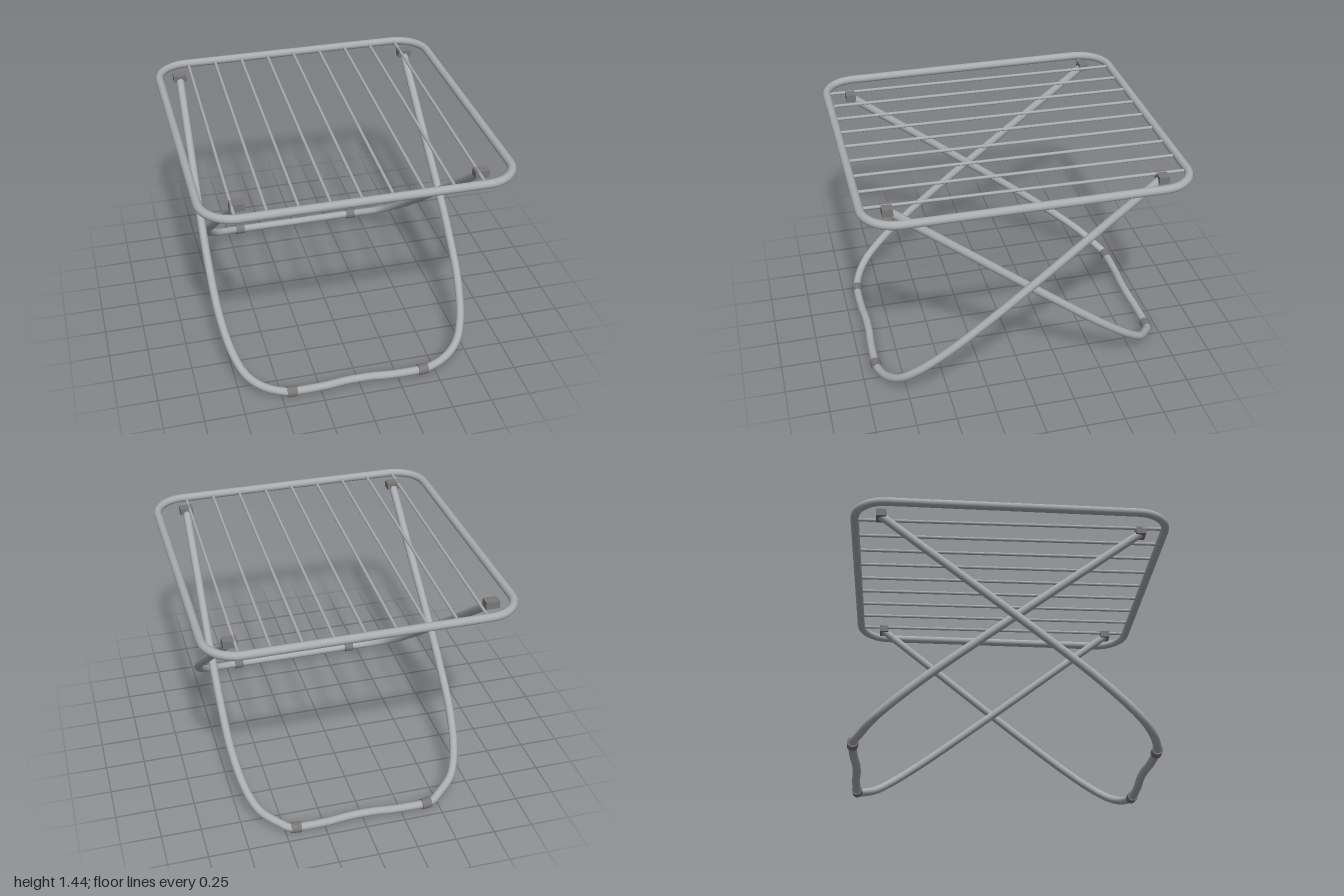
import * as THREE from 'three';

const tubeGrey = new THREE.MeshStandardMaterial({ color: 0xa9acae });
tubeGrey.name = 'tube grey';
const fittingGrey = new THREE.MeshStandardMaterial({ color: 0x797877 });
fittingGrey.name = 'fitting grey';

const TUBE = 0.026, FRAME_Y = 1.414;
const V = (x, y, z) => new THREE.Vector3(x, y, z);

function add(parent, name, geometry, material) {
  const mesh = new THREE.Mesh(geometry, material);
  mesh.name = name;
  parent.add(mesh);
  return mesh;
}

// Cylinder running from a to b
function rod(parent, name, a, b, radius, material, sides) {
  const mesh = add(parent, name, new THREE.CylinderGeometry(radius, radius, a.distanceTo(b), sides), material);
  mesh.position.copy(a).lerp(b, 0.5);
  mesh.quaternion.setFromUnitVectors(V(0, 1, 0), b.clone().sub(a).normalize());
}

// Round section swept along a horizontal rounded rectangle
function frameGeometry(hx, hz, r, y) {
  const sides = 16, steps = 10, rings = 4 * (steps + 1);
  const positions = [], normals = [], index = [];
  const corners = [[1, 1], [-1, 1], [-1, -1], [1, -1]];
  for (let i = 0; i < rings; i++) {
    const quarter = Math.floor(i / (steps + 1));
    const [sx, sz] = corners[quarter];
    const t = (quarter + (i % (steps + 1)) / steps) * Math.PI / 2;
    const centre = V(sx * (hx - r) + r * Math.cos(t), y, sz * (hz - r) + r * Math.sin(t));
    for (let j = 0; j <= sides; j++) {
      const a = j / sides * Math.PI * 2;
      const normal = V(Math.cos(a) * Math.cos(t), Math.sin(a), Math.cos(a) * Math.sin(t));
      positions.push(...centre.clone().addScaledVector(normal, TUBE));
      normals.push(...normal);
      if (j === sides) continue;
      const u = i * (sides + 1) + j, v = ((i + 1) % rings) * (sides + 1) + j;
      index.push(u, u + 1, v, v, u + 1, v + 1);
    }
  }
  const geometry = new THREE.BufferGeometry();
  geometry.setAttribute('position', new THREE.Float32BufferAttribute(positions, 3));
  geometry.setAttribute('normal', new THREE.Float32BufferAttribute(normals, 3));
  geometry.setIndex(index);
  return geometry;
}

// U-shaped leg: its plane slopes from the top mount to the floor on the other side
function leg(name, shift, topX, bulge, topZ, floorZ) {
  const group = new THREE.Group();
  group.name = name;
  const topY = 1.395, floorY = 0.034;
  // The floor bar kicks slightly outwards from the straight slope
  const kick = 0.02 * Math.sign(floorZ);
  const at = (x, y) => V(x + shift, y,
    THREE.MathUtils.mapLinear(y, floorY, topY, floorZ - kick, topZ) + kick * Math.exp((floorY - y) / 0.05));

  // Half profile from the mount down to the middle of the floor bar
  const half = [
    [topX, topY], [topX + bulge * 0.4, 1.1], [topX + bulge * 0.9, 0.8], [topX + bulge, 0.58],
    [topX + bulge * 0.35, 0.36], [topX - 0.037, 0.2], [topX - 0.097, 0.115], [topX - 0.19, 0.065],
    [0.46, 0.037], [0.39, floorY], [0.2, 0.035], [0.08, 0.04],
  ];
  const points = [
    ...half.map(([x, y]) => at(-x, y)),
    ...half.slice().reverse().map(([x, y]) => at(x, y)),
  ];
  const curve = new THREE.CatmullRomCurve3(points, false, 'centripetal');
  add(group, 'legTube', new THREE.TubeGeometry(curve, 160, TUBE, 14, false), tubeGrey);

  for (const side of [-1, 1]) {
    // Mount under the frame
    const mount = add(group, 'legMount', new THREE.BoxGeometry(0.085, 0.046, 0.062), fittingGrey);
    mount.position.set(shift + side * topX, 1.4, topZ);
    // Foot sleeve on the floor bar
    rod(group, 'footSleeve', at(side * 0.394, 0.034), at(side * 0.456, 0.036), 0.034, fittingGrey, 18);
  }
  return group;
}

export function createModel() {
  const model = new THREE.Group();
  model.name = 'foldingRack';

  // Top frame
  add(model, 'topFrame', frameGeometry(0.927, 0.974, 0.2, FRAME_Y), tubeGrey);

  // Slightly slanted rack bars
  const bars = new THREE.Group();
  bars.name = 'rackBars';
  for (let i = 0; i < 9; i++) {
    const x = (i - 4) * 0.182;
    rod(bars, 'rackBar', V(x + 0.02, FRAME_Y, -0.97), V(x - 0.02, FRAME_Y, 0.97), 0.01, tubeGrey, 10);
  }
  model.add(bars);

  // Crossed legs, the narrower one folding inside the wider one
  model.add(leg('outerLeg', -0.01, 0.78, 0.022, -0.807, 0.908));
  model.add(leg('innerLeg', 0.01, 0.722, 0.018, 0.821, -0.925));
  return model;
}
